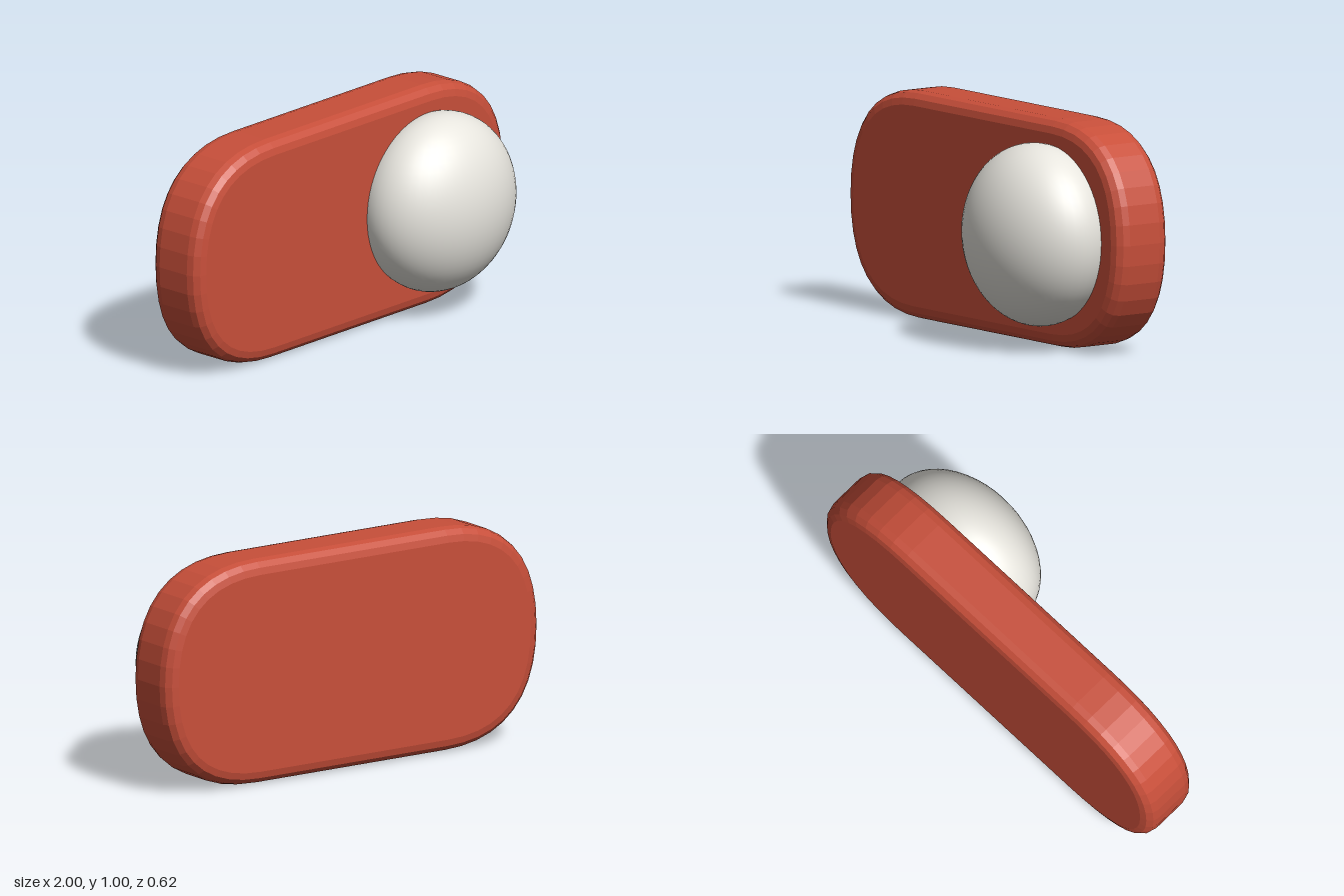
import * as THREE from 'three';

// Rounded plate outline with quadratic corners, centred on the origin
function plateShape(w, h, r) {
  const s = new THREE.Shape();
  s.moveTo(-w + r, -h);
  s.lineTo(w - r, -h);
  s.quadraticCurveTo(w, -h, w, -h + r);
  s.lineTo(w, h - r);
  s.quadraticCurveTo(w, h, w - r, h);
  s.lineTo(-w + r, h);
  s.quadraticCurveTo(-w, h, -w, h - r);
  s.lineTo(-w, -h + r);
  s.quadraticCurveTo(-w, -h, -w + r, -h);
  return s;
}

export function createModel() {
  const red = new THREE.MeshStandardMaterial({ color: 0xc84f3a });
  red.name = 'red';
  const offWhite = new THREE.MeshStandardMaterial({ color: 0xe8e6df });
  offWhite.name = 'offWhite';

  const group = new THREE.Group();
  group.name = 'toggleSwitch';

  // Bevelled plate, z from -0.31 to -0.03
  const bevel = 0.06;
  const plateGeometry = new THREE.ExtrudeGeometry(
    plateShape(1 - bevel, 0.5 - bevel, 0.5 - bevel),
    {
      depth: 0.28 - 2 * bevel,
      bevelEnabled: true,
      bevelSize: bevel,
      bevelThickness: bevel,
      bevelSegments: 3,
      curveSegments: 10,
    }
  );
  const plate = new THREE.Mesh(plateGeometry, red);
  plate.name = 'plate';
  plate.position.set(0, 0.5, -0.31 + bevel);
  group.add(plate);

  // Flattened round knob, sunk into the plate
  const knob = new THREE.Mesh(new THREE.SphereGeometry(0.4, 48, 32), offWhite);
  knob.name = 'knob';
  knob.scale.z = 0.7;
  knob.position.set(0.48, 0.5, 0.03);
  group.add(knob);

  return group;
}
